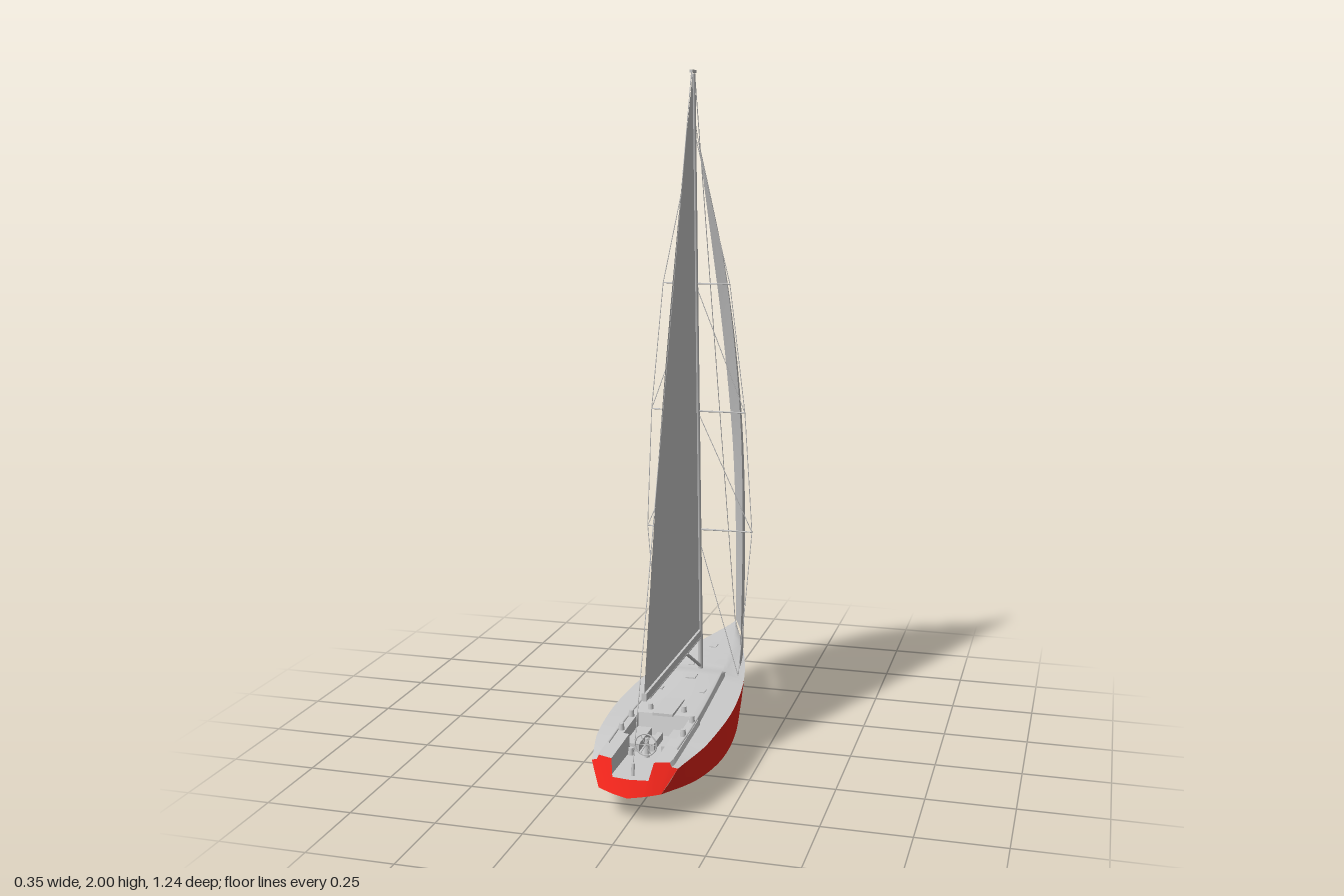
import * as THREE from 'three';
import { toCreasedNormals } from 'three/addons/utils/BufferGeometryUtils.js';

const grey = new THREE.MeshStandardMaterial({ color: 0xcccccc });
const cloth = new THREE.MeshStandardMaterial({ color: 0xcccccc, side: THREE.DoubleSide });
const red = new THREE.MeshStandardMaterial({ color: 0xf0251b });
const V = (x, y, z) => new THREE.Vector3(x, y, z);
const clamp = THREE.MathUtils.clamp;

// Smooth table lookup along one axis
function table(keys, rows) {
  const it = new THREE.CubicInterpolant(keys, rows.flat(), rows[0].length, new Float32Array(rows[0].length));
  return (k) => Array.from(it.evaluate(clamp(k, keys[0], keys[keys.length - 1])));
}

// Skin over rows of points
function loft(rows, crease = 0.5) {
  const n = rows[0].length, pos = [], idx = [];
  rows.forEach((r) => r.forEach((p) => pos.push(p.x, p.y, p.z)));
  for (let i = 0; i < rows.length - 1; i++) for (let j = 0; j < n - 1; j++) {
    const a = i * n + j, b = a + 1, d = a + n, c = d + 1;
    idx.push(a, d, c, a, c, b);
  }
  const g = new THREE.BufferGeometry();
  g.setAttribute('position', new THREE.Float32BufferAttribute(pos, 3));
  g.setIndex(idx);
  return toCreasedNormals(g, crease);
}

// Hull lines: half beam, sheer height, bottom height, chine ratio
const lines = table(
  [-0.62, -0.5, -0.35, -0.2, -0.05, 0.15, 0.3, 0.45, 0.62],
  [[0, 0.18, 0.052, 0.8], [0.042, 0.178, 0.032, 0.82], [0.09, 0.175, 0.015, 0.84],
    [0.13, 0.172, 0.005, 0.86], [0.158, 0.168, 0, 0.86], [0.174, 0.161, 0.008, 0.86],
    [0.169, 0.156, 0.021, 0.84], [0.152, 0.149, 0.042, 0.8], [0.122, 0.143, 0.073, 0.72]]);

// Raked stem and curved, raked transom
function warp(x, y, z) {
  const aft = clamp((z - 0.4) / 0.22, 0, 1), fore = clamp((-0.5 - z) / 0.12, 0, 1);
  const sheer = lines(z)[1];
  return V(x, y, z - aft * (0.035 * (x / 0.125) ** 2 + 0.5 * (y - 0.075)) + fore * 0.033 * (sheer - y) / 0.13);
}

function hullRow(z) {
  const [w, yd, yk, k] = lines(z), wc = w * k, yc = yk + 0.012;
  const half = [[w, yd], [w + (wc - w) * 0.45, yd + (yc - yd) * 0.5], [wc, yc],
    [wc * 0.66, yk + 0.007], [wc * 0.33, yk + 0.003]];
  const all = [...half, [0, yk], ...half.map(([x, y]) => [-x, y]).reverse()];
  return all.map(([x, y]) => warp(x, y, z));
}

// Deck section: foredeck, coachroof, cockpit and open stern
function deckRow([z, zone]) {
  const [w, yd] = lines(z);
  const rise = zone === 'fore' ? 0.005 : 0.017;
  const well = zone === 'cockpit' || zone === 'stern';
  const f = Math.min(zone === 'stern' ? 0.057 : 0.074, w * 0.5);
  const r = Math.min(z < 0.27 ? 0.088 + 0.045 * z : 0.104, w * 0.82);
  const floor = well ? 0.117 : yd + rise + 0.003;
  const half = [[f, floor], [f + Math.min(0.003, w * 0.05), well ? yd + rise : floor],
    [r, yd + rise], [r + Math.min(0.006, w * 0.1), yd + (zone === 'fore' ? 0.003 : 0.005)], [w, yd]];
  return [...half.map(([x, y]) => [-x, y]).reverse(), [0, floor], ...half].map(([x, y]) => warp(x, y, z));
}

// Straight round part between two points
function rod(name, a, b, r, r2 = r, sides = 8) {
  const d = b.clone().sub(a);
  const m = new THREE.Mesh(new THREE.CylinderGeometry(r2, r, d.length(), sides), grey);
  m.position.copy(a).addScaledVector(d, 0.5);
  m.quaternion.setFromUnitVectors(V(0, 1, 0), d.normalize());
  m.name = name;
  return m;
}

export function createModel() {
  const model = new THREE.Group();
  const add = (name, geo, mat = grey, p = [0, 0, 0]) => {
    const m = new THREE.Mesh(geo, mat);
    m.name = name;
    m.position.set(...p);
    model.add(m);
    return m;
  };
  const box = (name, w, h, d, x, y, z) => add(name, new THREE.BoxGeometry(w, h, d), grey, [x, y, z]);
  const wire = (name, a, b, r = 0.0013) => model.add(rod(name, a, b, r, r, 5));

  // Hull and transom
  const hull = [];
  for (let i = 0; i <= 40; i++) hull.push(hullRow(-0.62 + 1.24 * i / 40));
  add('hull', loft(hull, 0.45), red);
  const stern = deckRow([0.62, 'stern']), [, , yk, k] = lines(0.62), wc = lines(0.62)[0] * k;
  const lower = stern.map((p) => warp(p.x * k, yk + 0.012 * Math.abs(p.x * k) / wc, 0.62));
  add('transom', loft([stern, lower]), red);

  // Deck with coachroof and cockpit
  const deck = [];
  const run = (a, b, n, zone) => { for (let i = 0; i <= n; i++) deck.push([a + (b - a) * i / n, zone]); };
  run(-0.62, -0.14, 16, 'fore');
  run(-0.1, 0.262, 12, 'roof');
  run(0.275, 0.408, 5, 'cockpit');
  run(0.412, 0.62, 8, 'stern');
  add('deck', loft(deck.map(deckRow), 0.4));
  box('companionwayHatch', 0.06, 0.008, 0.13, 0, 0.182, 0.215);
  box('cockpitTable', 0.016, 0.022, 0.09, 0, 0.128, 0.35);
  for (const [x, z, w, d] of [[-0.01, -0.36, 0.022, 0.045], [-0.035, -0.175, 0.016, 0.022],
    [0, -0.04, 0.03, 0.036], [0.065, 0.07, 0.014, 0.024], [-0.065, 0.07, 0.014, 0.024]])
    box('deckHatch', w, 0.006, d, x, lines(z)[1] + (z > -0.1 ? 0.02 : 0.007), z);

  // Paired deck fittings
  for (const s of [1, -1]) {
    box('cockpitSeat', 0.042, 0.024, 0.13, s * 0.053, 0.128, 0.342);
    for (const [x, z] of [[0.05, 0.23], [0.09, 0.29], [0.09, 0.385], [0.048, 0.43]]) {
      const base = x < 0.049 ? 0.117 : lines(z)[1] + 0.016;
      model.add(rod('winch', V(s * x, base, z), V(s * x, base + 0.02, z), 0.009, 0.007, 12));
    }
    const rail = new THREE.CatmullRomCurve3([[0.08, -0.1], [0.09, 0.06], [0.098, 0.24], [0.1, 0.36], [0.098, 0.48]]
      .map(([x, z]) => V(s * x, lines(z)[1] + 0.018, z)));
    add('sheetTrack', new THREE.TubeGeometry(rail, 20, 0.003, 6));
  }

  // Steering wheel on its pedestal
  add('steeringWheel', new THREE.TorusGeometry(0.031, 0.0022, 6, 24), grey, [0, 0.157, 0.447]);
  for (let i = 0; i < 3; i++) {
    const c = Math.cos(i * Math.PI / 3) * 0.031, q = Math.sin(i * Math.PI / 3) * 0.031;
    wire('wheelSpoke', V(-c, 0.157 - q, 0.447), V(c, 0.157 + q, 0.447));
  }
  model.add(rod('wheelPedestal', V(0, 0.115, 0.435), V(0, 0.172, 0.435), 0.008, 0.006));
  model.add(rod('backstayFitting', V(0, 0.105, 0.57), V(0, 0.15, 0.565), 0.005));

  // Mast, boom and vang
  const mastZ = (y) => -0.149 + (y - 0.17) * 0.0505;
  const mast = rod('mast', V(0, 0.165, mastZ(0.165)), V(0, 1.99, mastZ(1.99)), 0.008, 0.006, 12);
  mast.scale.z = 1.25;
  model.add(mast);
  box('mastheadCrane', 0.008, 0.008, 0.042, 0, 1.996, -0.053);
  box('boom', 0.014, 0.022, 0.585, 0, 0.299, 0.168);
  model.add(rod('boomUnderRail', V(0, 0.28, 0.41), V(0, 0.28, -0.13), 0.004));
  model.add(rod('boomVang', V(0, 0.28, 0.02), V(0, 0.19, -0.14), 0.005));

  // Mainsail with a slightly rounded leech
  const main = [];
  for (let i = 0; i <= 24; i++) {
    const t = i / 24, y = 0.305 + 1.68 * t, row = [];
    const luff = mastZ(y) + 0.009, leech = 0.46 - 0.507 * t + 0.045 * Math.sin(Math.PI * t);
    for (let j = 0; j <= 8; j++) row.push(V(0, y, luff + (leech - luff) * j / 8));
    main.push(row);
  }
  add('mainsail', loft(main), cloth);

  // Headsail: luff z and leech x by height
  const cut = table([0.19, 0.5, 0.8, 1.0, 1.26, 1.45, 1.65, 1.85],
    [[-0.622, 0.125], [-0.613, 0.134], [-0.565, 0.136], [-0.5, 0.13], [-0.392, 0.109],
      [-0.295, 0.084], [-0.19, 0.044], [-0.085, 0]]);
  const jib = [];
  for (let i = 0; i <= 32; i++) {
    const y = 0.19 + 1.66 * i / 32, [zl, xe] = cut(y), ze = mastZ(y) - 0.004, row = [];
    for (let j = 0; j <= 12; j++) {
      const u = j / 12;
      row.push(V(xe * (u + 0.55 * u * (1 - u)), y, zl + (ze - zl) * u));
    }
    jib.push(row);
  }
  add('headsail', loft(jib, 1), cloth);

  // Spreaders and standing rigging
  const levels = [[0.63, 0.165], [1.0, 0.145], [1.385, 0.102]];
  for (const s of [1, -1]) {
    let from = V(s * 0.125, 0.17, -0.13), root = 0.6;
    for (const [y, x] of levels) {
      const tip = V(s * x, y, mastZ(y) - 0.005);
      model.add(rod('spreader', V(0, y, mastZ(y)), tip, 0.003, 0.002, 6));
      wire('shroud', from, tip);
      wire('diagonalShroud', from, V(0, root, mastZ(root)));
      from = tip;
      root = y === 0.63 ? 1.0 : 1.38;
      if (y === 0.63) root = 1.0;
    }
    wire('shroud', from, V(0, 1.83, mastZ(1.83)));
  }
  wire('backstay', V(0, 1.995, -0.036), V(0, 0.14, 0.568));
  wire('forestay', V(0, 1.995, -0.07), V(0, 0.18, -0.612));
  return model;
}
